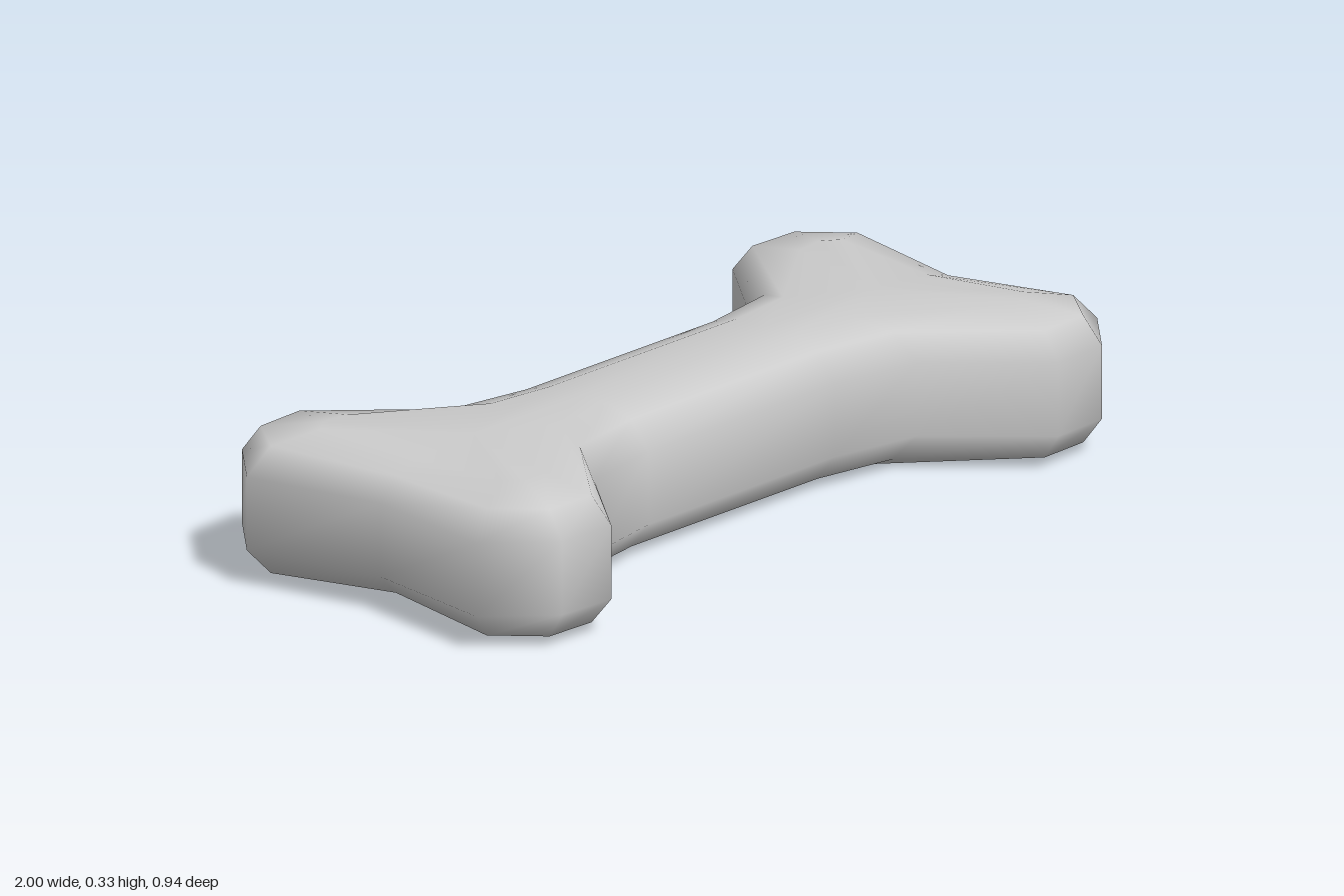
import * as THREE from 'three';
import { mergeVertices } from 'three/addons/utils/BufferGeometryUtils.js';

// One quarter of each contour as [x, z], from the end notch round the knuckle to the shaft
const outer = [[0.94, 0], [1, 0.33], [0.87, 0.46], [0.72, 0.468], [0.52, 0.24], [0.3, 0.2]];
const shoulder = [[0.89, 0], [0.945, 0.31], [0.86, 0.415], [0.73, 0.42], [0.505, 0.185], [0.3, 0.15]];
const crown = [[0.82, 0], [0.84, 0.26], [0.8, 0.29], [0.73, 0.28], [0.47, 0.1], [0.3, 0.08]];
const spine = [[0.64, 0], [0.64, 0], [0.64, 0], [0.64, 0], [0.64, 0], [0.3, 0]];

// Mirror a quarter contour into a closed loop
function fullLoop(quarter) {
  const back = [...quarter].reverse();
  return [
    ...quarter,
    ...back.map(([x, z]) => [-x, z]),
    ...quarter.slice(1).map(([x, z]) => [-x, -z]),
    ...back.slice(0, -1).map(([x, z]) => [x, -z]),
  ];
}

function boneGeometry() {
  const middle = 0.168;
  // Contours with their height from the middle, and the dip at the end notch
  const half = [[outer, 0.083, 0], [shoulder, 0.144, 0.012], [crown, 0.167, 0.015], [spine, 0.167, 0]];
  const layers = [
    ...[...half].reverse().map(([q, h, dip]) => [q, -h, -dip]),
    ...half,
  ];
  const positions = [];
  const index = [];
  const count = fullLoop(outer).length;
  for (const [quarter, h, dip] of layers) {
    for (const [x, z] of fullLoop(quarter)) {
      positions.push(x, middle + h - (z === 0 ? dip : 0), z);
    }
  }
  for (let j = 0; j < layers.length - 1; j++) {
    for (let i = 0; i < count; i++) {
      const a = j * count + i;
      const b = j * count + (i + 1) % count;
      index.push(a, a + count, b, b, a + count, b + count);
    }
  }
  const geometry = new THREE.BufferGeometry();
  geometry.setAttribute('position', new THREE.Float32BufferAttribute(positions, 3));
  geometry.setIndex(index);

  // Weld the collapsed spine points and drop the empty triangles there
  const welded = mergeVertices(geometry, 1e-4);
  const idx = welded.index.array;
  const kept = [];
  for (let k = 0; k < idx.length; k += 3) {
    const [a, b, c] = [idx[k], idx[k + 1], idx[k + 2]];
    if (a !== b && b !== c && c !== a) kept.push(a, b, c);
  }
  welded.setIndex(kept);
  welded.computeVertexNormals();
  return welded;
}

export function createModel() {
  const group = new THREE.Group();
  group.name = 'bone';
  const body = new THREE.Mesh(boneGeometry(), new THREE.MeshStandardMaterial({ color: 0xcccccc }));
  body.name = 'boneBody';
  group.add(body);
  return group;
}
